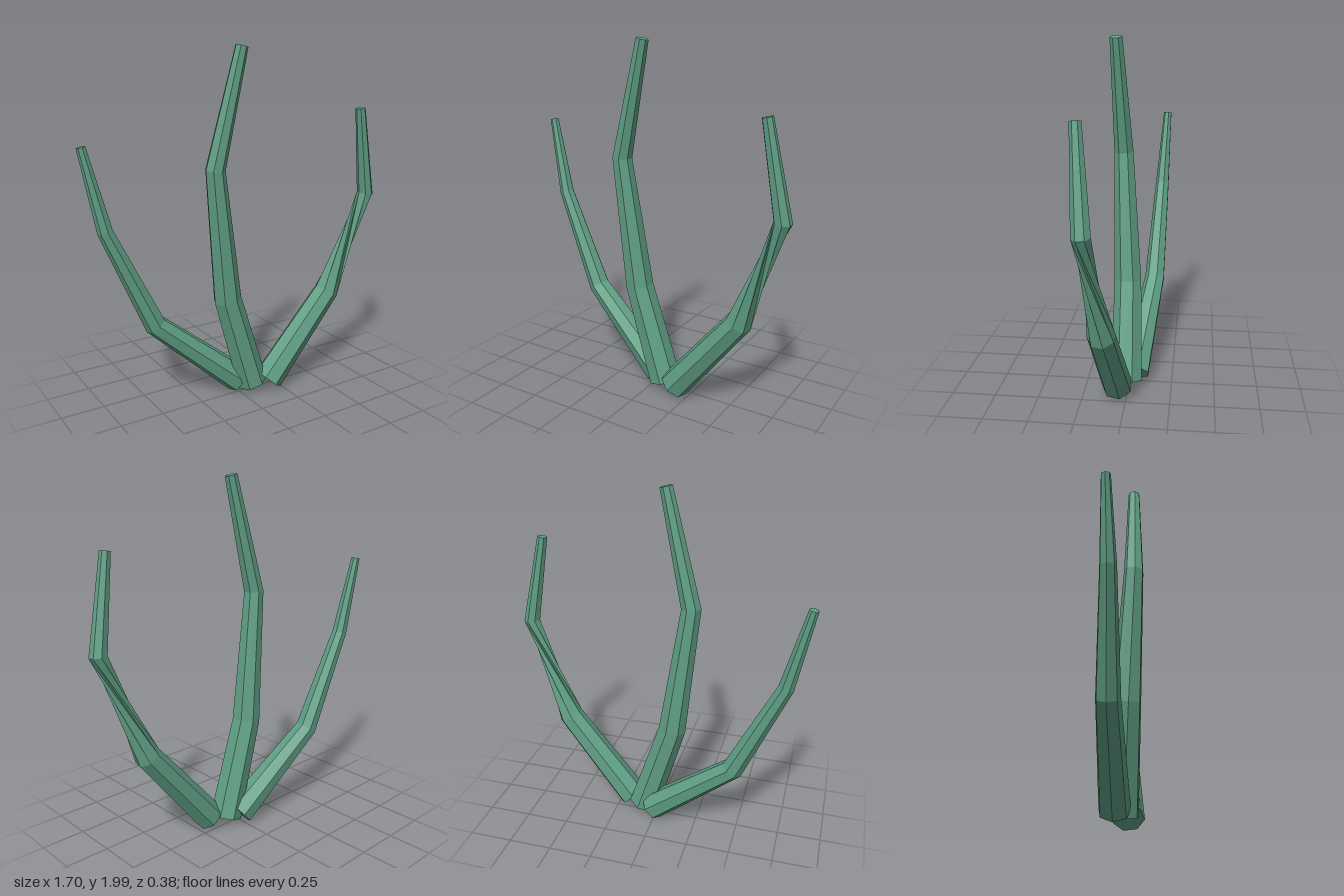
import * as THREE from 'three';

const SIDES = 7;

// Faceted tapering stalk: one ring per joint [x, y, z, radius, ring angle in degrees]
function stalkGeometry(joints) {
  const centres = joints.map(([x, y, z]) => new THREE.Vector3(x, y, z));
  const up = new THREE.Vector3(0, 1, 0);
  const last = joints.length - 1;
  const direction = (i) => centres[i + 1].clone().sub(centres[i]).normalize();

  const rings = joints.map(([, , , radius, angle], i) => {
    const tangent = direction(Math.min(i, last - 1));
    if (i > 0 && i < last) tangent.add(direction(i - 1)).normalize();
    const tilt = new THREE.Quaternion().setFromUnitVectors(up, tangent);
    return Array.from({ length: SIDES }, (_, k) => {
      const a = THREE.MathUtils.degToRad(angle) + (k / SIDES) * Math.PI * 2;
      return new THREE.Vector3(Math.cos(a) * radius, 0, Math.sin(a) * radius)
        .applyQuaternion(tilt).add(centres[i]);
    });
  });

  const points = [];
  for (let k = 0; k < SIDES; k++) {
    const n = (k + 1) % SIDES;
    for (let i = 0; i < last; i++) {
      const [a, b, c, d] = [rings[i][k], rings[i][n], rings[i + 1][k], rings[i + 1][n]];
      points.push(a, c, b, b, c, d);
    }
    // end caps
    points.push(centres[0], rings[0][k], rings[0][n]);
    points.push(centres[last], rings[last][n], rings[last][k]);
  }
  const geometry = new THREE.BufferGeometry().setFromPoints(points);
  geometry.computeVertexNormals();
  return geometry;
}

export function createModel() {
  const model = new THREE.Group();
  model.name = 'branchingPlant';

  const stemGreen = new THREE.MeshStandardMaterial({ color: 0x5f9e84, flatShading: true });
  stemGreen.name = 'stemGreen';

  const stalks = {
    middleStalk: [
      [0.08, 0.055, 0.01, 0.092, 180],
      [-0.09, 0.61, 0.018, 0.08, 180],
      [-0.18, 1.355, 0.05, 0.056, 180],
      [-0.03, 1.992, 0.075, 0.035, 180],
    ],
    rightStalk: [
      [0.015, 0.07, -0.035, 0.085, 90],
      [-0.475, 0.49, -0.115, 0.063, 90],
      [-0.732, 1.055, -0.142, 0.043, 90],
      [-0.83, 1.5, -0.165, 0.025, 90],
    ],
    // the upper half of this one is turned, pinching its middle length
    leftStalk: [
      [0.17, 0.065, 0.055, 0.087, 90],
      [0.57, 0.555, 0.085, 0.073, 90],
      [0.805, 1.145, 0.135, 0.048, 230],
      [0.715, 1.65, 0.165, 0.029, 230],
    ],
  };
  for (const [name, joints] of Object.entries(stalks)) {
    const mesh = new THREE.Mesh(stalkGeometry(joints), stemGreen);
    mesh.name = name;
    model.add(mesh);
  }
  return model;
}
